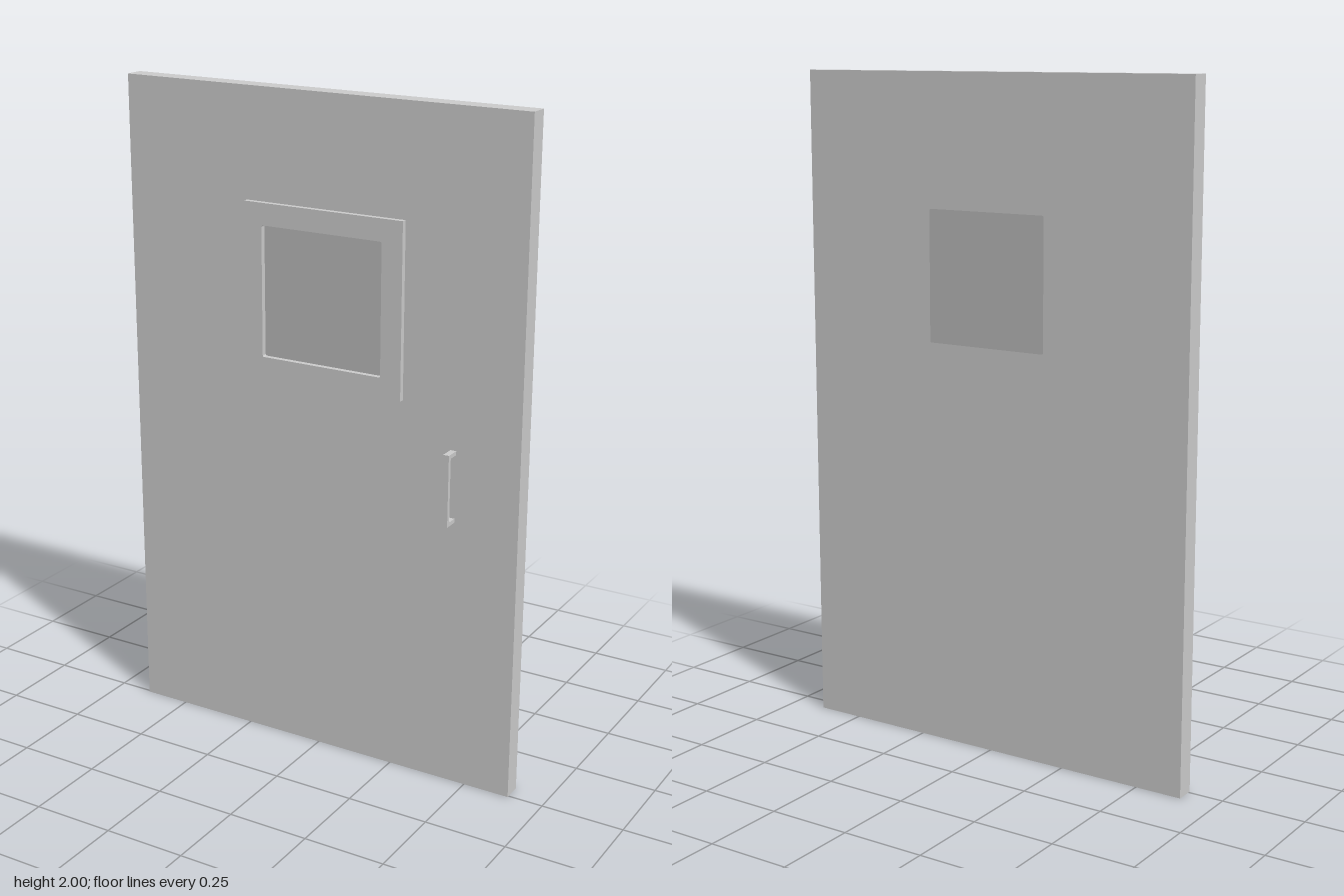
import * as THREE from 'three';

const BACK = -0.051, FACE = 0.006;
const WINDOW = [-0.18, 1.22, 0.21, 1.61];

// Rectangle outline with slightly rounded corners
function rect(path, [x0, y0, x1, y1], r = 0) {
  if (!r) return path.moveTo(x0, y0).lineTo(x1, y0).lineTo(x1, y1).lineTo(x0, y1).closePath();
  return path.moveTo(x0 + r, y0).lineTo(x1 - r, y0).quadraticCurveTo(x1, y0, x1, y0 + r)
    .lineTo(x1, y1 - r).quadraticCurveTo(x1, y1, x1 - r, y1)
    .lineTo(x0 + r, y1).quadraticCurveTo(x0, y1, x0, y1 - r)
    .lineTo(x0, y0 + r).quadraticCurveTo(x0, y0, x0 + r, y0);
}

// Plate from z0 to z1 with the window cut out
function windowPlate(outline, z0, z1) {
  const shape = rect(new THREE.Shape(), outline);
  shape.holes.push(rect(new THREE.Path(), WINDOW, 0.006));
  return new THREE.ExtrudeGeometry(shape, { depth: z1 - z0, bevelEnabled: false, curveSegments: 4 })
    .translate(0, 0, z0);
}

export function createModel() {
  const group = new THREE.Group();
  const grey = new THREE.MeshStandardMaterial({ color: 0xcccccc });
  const tinted = new THREE.MeshStandardMaterial({ color: 0xb9b9b9 });
  const add = (name, geometry, material = grey) => {
    const mesh = new THREE.Mesh(geometry, material);
    mesh.name = name;
    group.add(mesh);
  };

  add('doorPanel', windowPlate([-0.643, 0, 0.643, 2], BACK, FACE));
  add('windowFrame', windowPlate([-0.238, 1.16, 0.275, 1.675], FACE, 0.022));

  // Pane fills the opening, flush with both faces of the door
  const pane = rect(new THREE.Shape(), WINDOW, 0.006);
  add('windowPane', new THREE.ExtrudeGeometry(pane, {
    depth: FACE - BACK, bevelEnabled: false, curveSegments: 4,
  }).translate(0, 0, BACK), tinted);

  // Pull handle: C-shaped side profile (depth, height) extruded across its width
  const y0 = 0.825, y1 = 1.04, front = 0.051, t = 0.012, r = 0.005;
  const side = new THREE.Shape()
    .moveTo(FACE, y0).lineTo(front, y0).lineTo(front, y1).lineTo(FACE, y1).lineTo(FACE, y1 - t)
    .lineTo(front - t - r, y1 - t).quadraticCurveTo(front - t, y1 - t, front - t, y1 - t - r)
    .lineTo(front - t, y0 + t + r).quadraticCurveTo(front - t, y0 + t, front - t - r, y0 + t)
    .lineTo(FACE, y0 + t).closePath();
  add('pullHandle', new THREE.ExtrudeGeometry(side, { depth: 0.018, bevelEnabled: false, curveSegments: 4 })
    .rotateY(-Math.PI / 2).translate(0.446, 0, 0));

  return group;
}
